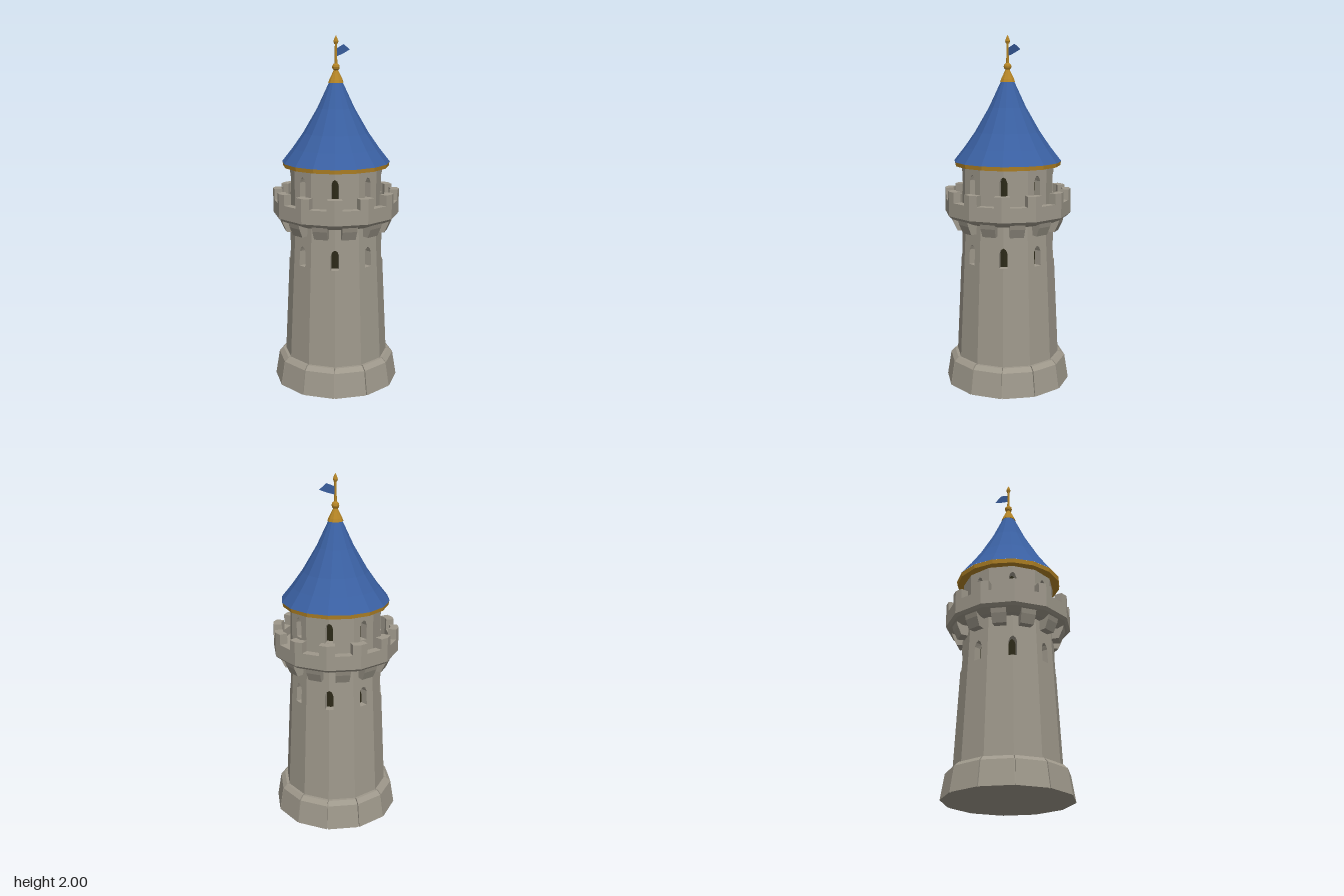
import * as THREE from 'three';

const mat = (name, color, side = THREE.FrontSide) => {
  const m = new THREE.MeshStandardMaterial({ color, flatShading: true, side });
  m.name = name;
  return m;
};

const SIDES = 12;
const STEP = (Math.PI * 2) / SIDES;
const TAN = Math.tan(STEP / 2);
const rad = THREE.MathUtils.degToRad;

// Reshape every vertex of a geometry by a rule
function warp(geometry, rule) {
  const p = geometry.attributes.position;
  for (let i = 0; i < p.count; i++) p.setXYZ(i, ...rule(p.getX(i), p.getY(i), p.getZ(i)));
  geometry.computeVertexNormals();
  return geometry;
}

// Block with a (radius, height) profile, swept between two angles of one flat facet
function block(profile, a0, a1, gap = 0) {
  const shape = new THREE.Shape(profile.map(([r, y]) => new THREE.Vector2(r, y)));
  const g = new THREE.ExtrudeGeometry(shape, { depth: 1, bevelEnabled: false, steps: 1 });
  return warp(g, (r, y, t) => {
    const lo = r * Math.tan(rad(a0)) + gap, hi = r * Math.tan(rad(a1)) - gap;
    return [hi + (lo - hi) * t, y, r];
  });
}

// Half of an arched window outline, from sill to peak, as [x, y]
const arch = (sill, w, h) => [[w, sill], [w, sill + h * 0.72], [w * 0.62, sill + h * 0.92], [0, sill + h]];

// One flat facet of a tapered wall, with window openings on every 45 degrees
function wallPanel(k, y0, y1, a0, a1, sill, w, h) {
  const apo = (y) => a0 + ((a1 - a0) * (y - y0)) / (y1 - y0);
  const half = (y) => apo(y) * TAN;
  const depth = 0.05, angle = k * 30;
  const cut = arch(sill, w, h);
  const notch = (side) => [[0, sill], ...cut].map(([x, y]) => [side * (half(y) - x), y]);
  const pts = [[-half(y0), y0], [half(y0), y0]];
  if ((angle + 15) % 45 === 0) pts.push(...notch(1));
  pts.push([half(y1), y1], [-half(y1), y1]);
  if ((angle - 15) % 45 === 0) pts.push(...notch(-1).reverse());
  const shape = new THREE.Shape(pts.map(([x, y]) => new THREE.Vector2(x, y)));
  if (angle % 90 === 0) {
    const left = cut.slice(0, -1).reverse().map(([x, y]) => [-x, y]);
    shape.holes.push(new THREE.Path([...cut, ...left].map(([x, y]) => new THREE.Vector2(x, y))));
  }
  const g = new THREE.ExtrudeGeometry(shape, { depth, bevelEnabled: false });
  return warp(g, (x, y, z) => {
    const r = apo(y) - depth + z;
    return [(x * r) / apo(y), y, r];
  });
}

// Closed twelve-sided drum sized by its flat faces
function drum(y0, y1, a0, a1) {
  const c = Math.cos(STEP / 2);
  const g = new THREE.CylinderGeometry(a1 / c, a0 / c, y1 - y0, SIDES, 1, false, STEP / 2);
  return g.translate(0, (y0 + y1) / 2, 0);
}

export function createModel() {
  const tower = new THREE.Group();
  tower.name = 'tower';
  const stone = mat('stone', 0x9e988b);
  const blue = mat('blue roof', 0x3a60a2);
  const flagBlue = mat('blue flag', 0x3a60a2, THREE.DoubleSide);
  const gold = mat('gold', 0xb58526);
  const dark = mat('dark interior', 0x2c2918);

  const add = (name, geometry, material, angle = 0) => {
    const m = new THREE.Mesh(geometry, material);
    m.name = name;
    m.rotation.y = angle;
    tower.add(m);
    return m;
  };
  const lathe = (pts, n) => new THREE.LatheGeometry(pts.map(([r, y]) => new THREE.Vector2(r, y)), n);

  // Solid cores: the plinth behind its seams, and the dark rooms behind the windows
  add('plinthCore', drum(0, 0.145, 0.342, 0.312), stone);
  add('shaftInterior', drum(0.15, 0.97, 0.244, 0.208), dark);
  add('upperInterior', drum(1.0, 1.27, 0.21, 0.21), dark);

  const plinth = [[0.25, 0], [0.35, 0], [0.328, 0.14], [0.305, 0.163], [0.25, 0.163]];
  const parapet = [[0.23, 0.965], [0.29, 0.965], [0.335, 0.985], [0.35, 1.0], [0.35, 1.08],
    [0.305, 1.08], [0.305, 1.03], [0.23, 1.03]];
  const merlon = [[0.305, 1.07], [0.35, 1.07], [0.35, 1.14], [0.305, 1.14]];
  const corbel = [[0.22, 0.905], [0.295, 0.905], [0.318, 0.955], [0.328, 0.99], [0.22, 0.99]];

  for (let k = 0; k < SIDES; k++) {
    const a = k * STEP;
    add('plinthBlock', block(plinth, -15, 15, 0.003), stone, a);
    add('shaftWall', wallPanel(k, 0.14, 0.99, 0.29, 0.25, 0.725, 0.024, 0.115), stone, a);
    add('upperWall', wallPanel(k, 1.0, 1.285, 0.254, 0.254, 1.12, 0.022, 0.115), stone, a);
    add('parapet', block(parapet, -15, 15), stone, a);
    add('corbel', block(corbel, -7.5, 7.5), stone, a);
    // Each merlon wraps a corner, so a facet carries two halves
    add('merlonHalf', block(merlon, 8, 15), stone, a);
    add('merlonHalf', block(merlon, -15, -8), stone, a);
  }

  // Roof with its gold eave
  add('eave', new THREE.CylinderGeometry(0.306, 0.302, 0.024, 16).translate(0, 1.285, 0), gold);
  add('roof', lathe([[0.308, 1.296], [0.245, 1.376], [0.185, 1.462], [0.105, 1.6], [0.03, 1.76]], 16), blue);

  // Finial
  add('finialCap', lathe([[0, 1.74], [0.044, 1.74], [0.038, 1.757], [0.018, 1.797], [0.012, 1.81], [0, 1.81]], 10), gold);
  add('finialBall', new THREE.SphereGeometry(0.022, 10, 6).translate(0, 1.826, 0), gold);
  add('pole', new THREE.CylinderGeometry(0.006, 0.008, 0.13, 8).translate(0, 1.9, 0), gold);
  add('poleTip', lathe([[0, 1.95], [0.009, 1.952], [0.014, 1.966], [0.008, 1.983], [0, 2]], 8), gold);

  // Pennant flying toward the back
  const pennant = new THREE.Shape([[0, 1.882], [0.05, 1.897], [0.11, 1.92], [0.06, 1.95], [0, 1.926]]
    .map(([x, y]) => new THREE.Vector2(x, y)));
  add('pennant', new THREE.ShapeGeometry(pennant), flagBlue, Math.PI / 2);

  return tower;
}
